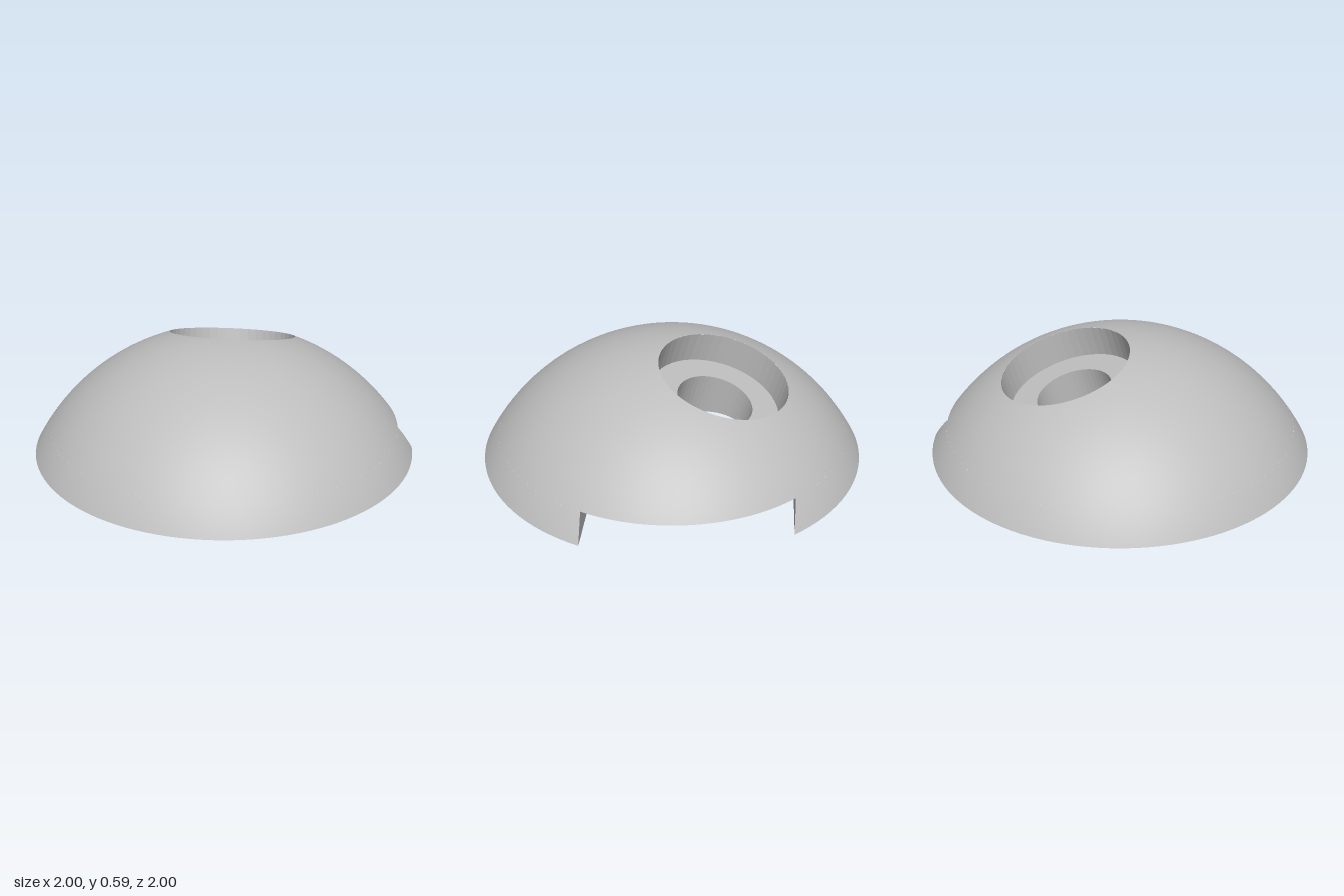
import * as THREE from 'three';
import { ParametricGeometry } from 'three/addons/geometries/ParametricGeometry.js';

// Dome: cap of a sphere, base radius 1
const HEIGHT = 0.59;
const R = (1 + HEIGHT * HEIGHT) / (2 * HEIGHT);
const CY = HEIGHT - R;
// Tilted stepped hole, its axis passing through the sphere centre
const TILT = 0.281, RECESS_R = 0.341, BORE_R = 0.2, FLOOR_T = 0.92;
const RIM_T = Math.sqrt(R * R - RECESS_R * RECESS_R);
// Slot in the underside, open at the back left
const SLOT_H = 0.13, SLOT_W = 0.503, SLOT_Y = 0.157, SLOT_A = THREE.MathUtils.degToRad(25);

const TAU = Math.PI * 2;
const X_AXIS = new THREE.Vector3(1, 0, 0);
const radiusAt = (y) => Math.sqrt(R * R - (y - CY) ** 2);

// Point around the vertical axis
const around = (a, r, y, out) => out.set(r * Math.cos(a), y, -r * Math.sin(a));

// Point around the tilted hole axis, t along it from the sphere centre
function tilted(a, r, t, out) {
  around(a, r, t, out).applyAxisAngle(X_AXIS, -TILT);
  out.y += CY;
  return out;
}

// Where the bore meets the slot ceiling
const boreEnd = (a) => (SLOT_H - CY + BORE_R * Math.sin(a) * Math.sin(TILT)) / Math.cos(TILT);

// Angle at which a slot side (+1 or -1) crosses a circle of radius r
const mouthAngle = (side, r) =>
  SLOT_A + Math.asin((SLOT_Y * Math.cos(SLOT_A) + side * SLOT_W) / r);

// Plan outline of the slot: straight side, round end, straight side
function slotPoint(u, r) {
  const end = (side) => {
    const a = mouthAngle(side, r);
    return new THREE.Vector2(r * Math.cos(a), r * Math.sin(a));
  };
  const arc = (k) => {
    const a = SLOT_A + Math.PI / 2 + Math.PI * k;
    return new THREE.Vector2(SLOT_W * Math.cos(a), SLOT_Y + SLOT_W * Math.sin(a));
  };
  if (u < 0.1) return end(1).lerp(arc(0), u / 0.1);
  if (u > 0.9) return arc(1).lerp(end(-1), (u - 0.9) / 0.1);
  return arc((u - 0.1) / 0.8);
}

const sample = (n, fn) => Array.from({ length: n + 1 }, (_, i) => fn(i / n));
const circlePoints = (n, r, a0, a1) => sample(n, (k) => {
  const a = a0 + (a1 - a0) * k;
  return new THREE.Vector2(r * Math.cos(a), r * Math.sin(a));
});

function faceted(geometry) {
  const g = geometry.toNonIndexed();
  g.computeVertexNormals();
  return g;
}

// Horizontal face looking down, from a plan outline
function underFace(points, y, hole) {
  const shape = new THREE.Shape(points);
  if (hole) shape.holes.push(new THREE.Path(hole));
  const g = new THREE.ShapeGeometry(shape);
  g.rotateX(-Math.PI / 2).translate(0, y, 0);
  g.setIndex(Array.from(g.index.array).reverse());
  return faceted(g);
}

export function createModel() {
  const group = new THREE.Group();
  const grey = new THREE.MeshStandardMaterial({ color: 0xbdbdbd });
  grey.name = 'grey';
  const add = (name, geometry) => {
    const mesh = new THREE.Mesh(geometry, grey);
    mesh.name = name;
    group.add(mesh);
  };
  const rTop = radiusAt(SLOT_H);
  const rim = new THREE.Vector3();

  // Dome above the slot, running up to the hole rim
  add('upperDome', new ParametricGeometry((u, v, p) => {
    around(u * TAU, rTop, SLOT_H, p);
    p.lerp(tilted(u * TAU, RECESS_R, RIM_T, rim), v);
    p.y -= CY;
    p.setLength(R);
    p.y += CY;
  }, 96, 32));

  // Dome skirt, interrupted by the slot mouth
  add('lowerDome', new ParametricGeometry((u, v, p) => {
    const y = SLOT_H * v, r = radiusAt(y);
    const a0 = mouthAngle(1, r), a1 = mouthAngle(-1, r) + TAU;
    around(a0 + (a1 - a0) * u, r, y, p);
  }, 96, 6));

  // Stepped hole: recess wall, recess floor and through bore
  add('recessWall', faceted(new ParametricGeometry((u, v, p) => {
    tilted(u * TAU, RECESS_R, RIM_T + (FLOOR_T - RIM_T) * v, p);
  }, 48, 1)));
  add('recessFloor', faceted(new ParametricGeometry((u, v, p) => {
    tilted(u * TAU, RECESS_R + (BORE_R - RECESS_R) * v, FLOOR_T, p);
  }, 48, 1)));
  add('boreWall', faceted(new ParametricGeometry((u, v, p) => {
    const a = u * TAU;
    tilted(a, BORE_R, FLOOR_T + (boreEnd(a) - FLOOR_T) * v, p);
  }, 48, 1)));

  // Slot wall
  add('slotWall', faceted(new ParametricGeometry((u, v, p) => {
    const y = SLOT_H * (1 - v), q = slotPoint(u, radiusAt(y));
    p.set(q.x, y, -q.y);
  }, 30, 6)));

  // Slot ceiling, pierced by the bore
  const boreOutline = sample(48, (k) => {
    const q = tilted(k * TAU, BORE_R, boreEnd(k * TAU), new THREE.Vector3());
    return new THREE.Vector2(q.x, -q.z);
  }).slice(0, -1);
  add('slotCeiling', underFace([
    ...sample(30, (k) => slotPoint(k, rTop)),
    ...circlePoints(24, rTop, mouthAngle(-1, rTop), mouthAngle(1, rTop)).slice(1, -1),
  ], SLOT_H, boreOutline));

  // Flat base around the slot
  add('base', underFace([
    ...circlePoints(96, 1, mouthAngle(1, 1), mouthAngle(-1, 1) + TAU),
    ...sample(30, (k) => slotPoint(1 - k, 1)).slice(1, -1),
  ], 0));

  return group;
}
